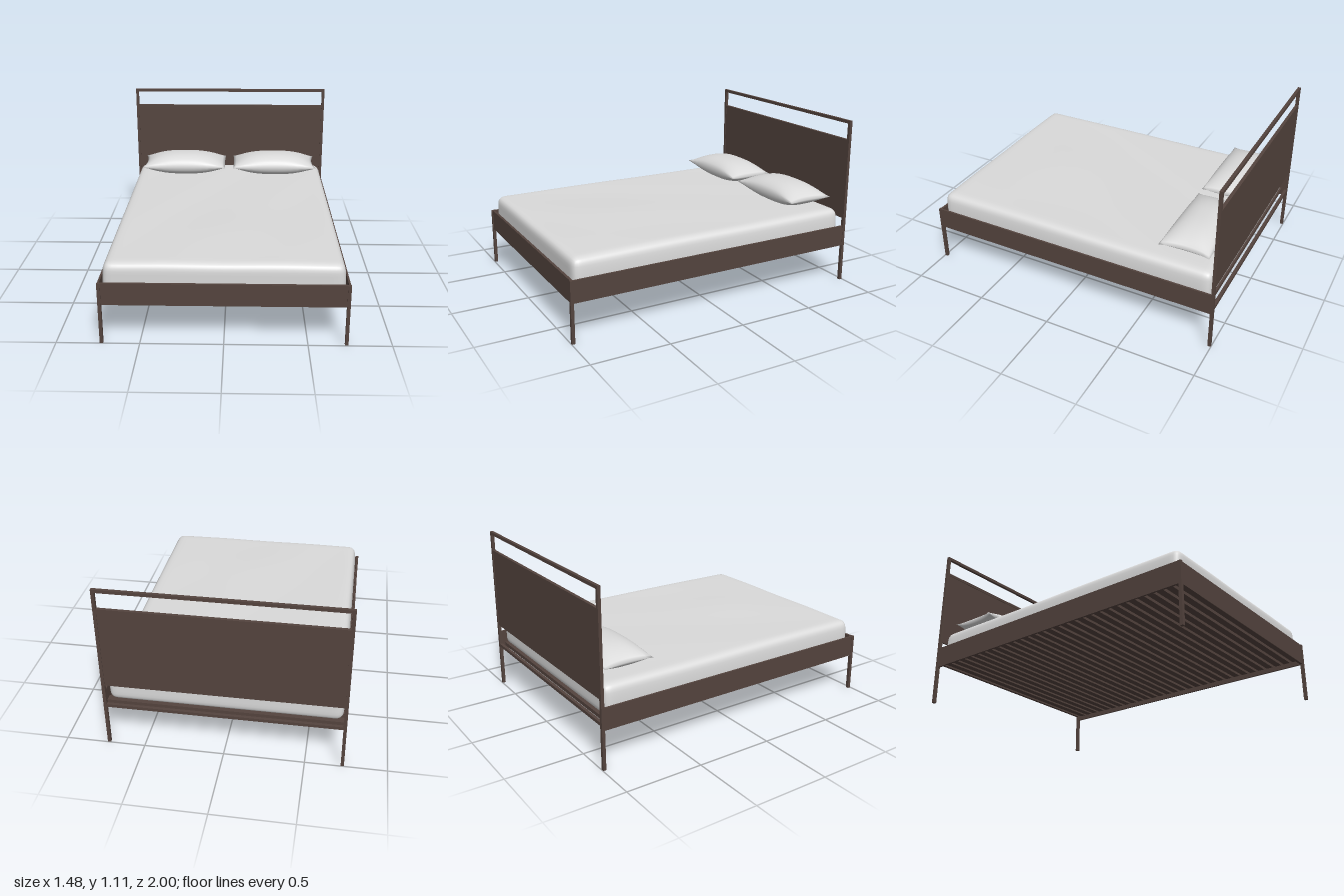
import * as THREE from 'three';
import { mergeVertices } from 'three/addons/utils/BufferGeometryUtils.js';

const frameMat = new THREE.MeshStandardMaterial({ color: 0x54443e });
frameMat.name = 'dark bronze';
const linenMat = new THREE.MeshStandardMaterial({ color: 0xdadada });
linenMat.name = 'white linen';

function add(group, name, geometry, material, x = 0, y = 0, z = 0) {
  const mesh = new THREE.Mesh(geometry, material);
  mesh.name = name;
  mesh.position.set(x, y, z);
  group.add(mesh);
  return mesh;
}

// Box given by its lower and upper limits
function beam(group, name, [x0, x1], [y0, y1], [z0, z1]) {
  return add(group, name, new THREE.BoxGeometry(x1 - x0, y1 - y0, z1 - z0), frameMat,
    (x0 + x1) / 2, (y0 + y1) / 2, (z0 + z1) / 2);
}

// Weld seams so that the deformed surface shades smoothly
function smooth(geometry) {
  geometry.deleteAttribute('uv');
  geometry.deleteAttribute('normal');
  const welded = mergeVertices(geometry, 1e-5);
  welded.computeVertexNormals();
  return welded;
}

// Soft block: points gathered towards the edges, corners rounded, top slightly uneven
function mattressGeometry(w, h, d, r) {
  const geo = new THREE.BoxGeometry(2, 2, 2, 28, 14, 32);
  const pos = geo.attributes.position;
  const half = new THREE.Vector3(w / 2, h / 2, d / 2);
  const inner = half.clone().subScalar(r);
  const p = new THREE.Vector3(), core = new THREE.Vector3();
  const gather = t => Math.sign(t) * (1 - (1 - Math.abs(t)) ** 2);
  for (let i = 0; i < pos.count; i++) {
    p.fromBufferAttribute(pos, i);
    p.set(gather(p.x), gather(p.y), gather(p.z)).multiply(half);
    core.copy(p).clamp(inner.clone().negate(), inner);
    p.sub(core);
    if (p.lengthSq() > 0) p.setLength(r);
    p.add(core);
    if (p.y > 0) {
      const lift = p.y / half.y;
      p.y += lift * 0.008 * Math.exp(-((p.x - 0.1) ** 2 + (p.z - 0.5) ** 2) / 0.09);
      p.y += lift * 0.0015 * Math.sin(9 * p.x + 5 * p.z);
      p.x *= 1 - 0.012 * lift;
    }
    pos.setXYZ(i, p.x, p.y, p.z);
  }
  return smooth(geo);
}

// Pillow: two domes meeting at a seam, with the outer (+x) edge pinched between its corners
function pillowGeometry(w, h, d, side) {
  const geo = new THREE.SphereGeometry(1, 48, 32);
  const pos = geo.attributes.position;
  for (let i = 0; i < pos.count; i++) {
    const x = pos.getX(i), y = pos.getY(i), z = pos.getZ(i);
    // Stretch the round outline to a square one
    const rad = Math.hypot(x, z), m = Math.max(Math.abs(x), Math.abs(z));
    const polar = Math.acos(THREE.MathUtils.clamp(y, -1, 1)) / (Math.PI / 2);
    const reach = polar <= 1 ? polar : 2 - polar;
    const k = m > 1e-6 ? reach / m : 0;
    const u = rad > 1e-6 ? x * k : 0, v = rad > 1e-6 ? z * k : 0;
    const domeU = Math.max(0, 1 - Math.abs(u) ** 2.6) ** 0.8;
    const domeV = Math.max(0, 1 - Math.abs(v) ** 2.4) ** 0.55;
    const pinch = 1 - (u * side > 0 ? 0.07 : 0.015) * (1 - v * v) * u * u;
    pos.setXYZ(i,
      u * pinch * w / 2,
      Math.sign(1 - polar) * domeU * domeV * h / 2,
      v * (1 - 0.02 * (1 - u * u) * v * v) * d / 2);
  }
  return smooth(geo);
}

export function createModel() {
  const bed = new THREE.Group();
  bed.name = 'bed';

  // Headboard: two tall posts, a top bar and a framed panel
  const headboard = new THREE.Group();
  headboard.name = 'headboard';
  bed.add(headboard);
  for (const s of [-1, 1]) {
    const cx = s * 0.729;
    beam(headboard, 'headPost', [cx - 0.01, cx + 0.01], [0, 1.107], [-0.998, -0.978]);
  }
  beam(headboard, 'topBar', [-0.719, 0.719], [1.087, 1.107], [-0.998, -0.978]);
  beam(headboard, 'panelBar', [-0.719, 0.719], [0.96, 0.98], [-0.998, -0.978]);
  beam(headboard, 'headPanel', [-0.719, 0.719], [0.44, 0.96], [-0.994, -0.982]);
  beam(headboard, 'lowerBar', [-0.719, 0.719], [0.28, 0.3], [-0.998, -0.978]);

  // Front legs and the rails
  const base = new THREE.Group();
  base.name = 'base';
  bed.add(base);
  for (const s of [-1, 1]) {
    const cx = s * 0.729, rx = s * 0.731;
    beam(base, 'frontLeg', [cx - 0.01, cx + 0.01], [0, 0.39], [0.978, 0.998]);
    beam(base, 'sideRail', [rx - 0.006, rx + 0.006], [0.25, 0.39], [-0.978, 0.978]);
  }
  beam(base, 'frontRail', [-0.719, 0.719], [0.25, 0.39], [0.976, 0.992]);

  // Cross slats under the mattress
  const slats = 30;
  for (let i = 0; i < slats; i++) {
    const z = -0.935 + i * 1.88 / (slats - 1);
    beam(base, 'slat', [-0.725, 0.725], [0.28, 0.304], [z - 0.022, z + 0.022]);
  }

  // Bedding
  add(bed, 'mattress', mattressGeometry(1.43, 0.2, 1.925, 0.05), linenMat, 0, 0.404, 0.0025);
  for (const s of [-1, 1]) {
    add(bed, 'pillow', pillowGeometry(0.63, 0.16, 0.325, s), linenMat, s * 0.345, 0.58, -0.76);
  }
  return bed;
}
